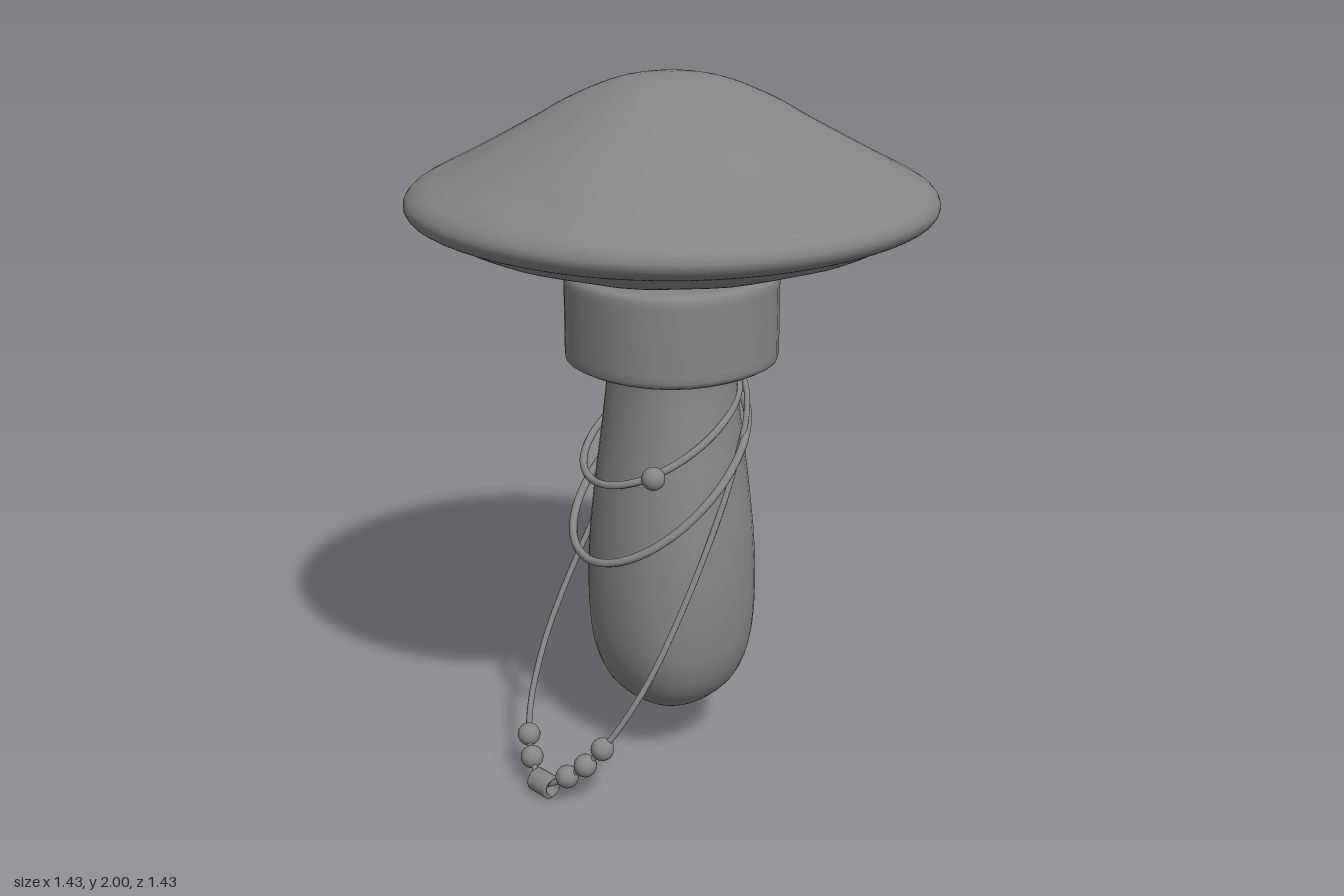
import * as THREE from 'three';
import { mergeVertices } from 'three/addons/utils/BufferGeometryUtils.js';

const material = new THREE.MeshStandardMaterial({ color: 0x868686 });
const v2 = ([x, y]) => new THREE.Vector2(x, y);

function add(parent, name, geometry, position = [0, 0, 0]) {
  const mesh = new THREE.Mesh(geometry, material);
  mesh.name = name;
  mesh.position.set(...position);
  parent.add(mesh);
  return mesh;
}

// Smooth profile through a few points, kept off the far side of the axis
function spline(points, samples) {
  const profile = new THREE.SplineCurve(points.map(v2)).getPoints(samples);
  profile.forEach((p) => { p.x = Math.max(p.x, 0); });
  return profile;
}

// Bottom-to-top profile turned round y, a little fuller on the diagonals;
// "lift" may shift each point's height. The seam is welded for even shading.
function turned(profile, sides, fullness = 0, lift = (x, y) => y) {
  let geometry = new THREE.LatheGeometry(profile, sides);
  const pos = geometry.attributes.position;
  for (let i = 0; i < pos.count; i++) {
    const x = pos.getX(i), z = pos.getZ(i);
    const k = 1 + fullness * Math.sin(2 * Math.atan2(z, x)) ** 2;
    pos.setXYZ(i, x * k, lift(x, pos.getY(i), z), z * k);
  }
  geometry.deleteAttribute('uv');
  geometry.deleteAttribute('normal');
  geometry = mergeVertices(geometry, 1e-5);
  geometry.computeVertexNormals();
  return geometry;
}

// Soft dents in the cap's top and waves in its gills
const dents = [[0.48, 0.16, 0.085, 0.02], [-0.36, 0.4, 0.1, 0.008],
  [0.15, 0.6, 0.07, 0.009], [-0.45, -0.2, 0.08, 0.004]]; // x, z, size, depth
function capLift(x, y, z) {
  const r = Math.hypot(x, z), a = Math.atan2(z, x);
  if (y > 1.67) {
    return dents.reduce((h, [dx, dz, size, depth]) =>
      h - depth * Math.exp(-((x - dx) ** 2 + (z - dz) ** 2) / (size * size)), y);
  }
  if (r < 0.25 || r > 0.6) return y;
  const fade = Math.sin(Math.PI * (r - 0.25) / 0.35);
  return y + fade * (0.007 * Math.sin(5 * a + 1) + 0.004 * Math.sin(13 * a + 9 * r));
}

const cord = (curve, radius) => new THREE.TubeGeometry(curve, 120, radius, 8, true);

// Tilted oval loop running from its low front point to its high back point
function loopCurve(front, back, halfWidth) {
  const points = [];
  for (let i = 0; i < 24; i++) {
    const t = (i / 24) * Math.PI * 2, k = (1 - Math.cos(t)) / 2;
    points.push(new THREE.Vector3(halfWidth * Math.sin(t),
      front[0] + (back[0] - front[0]) * k, front[1] + (back[1] - front[1]) * k));
  }
  return new THREE.CatmullRomCurve3(points, true);
}

export function createModel() {
  const model = new THREE.Group();
  model.name = 'mushroomWithBeadedCord';

  // Cap: wavy gilled underside, rolled rim and domed top
  const gills = spline([[0.1, 1.6], [0.2, 1.59], [0.3, 1.56], [0.38, 1.54], [0.46, 1.54],
    [0.54, 1.55], [0.585, 1.565], [0.61, 1.588]], 20);
  const dome = spline([[0.632, 1.594], [0.675, 1.608], [0.704, 1.627], [0.714, 1.655],
    [0.7, 1.685], [0.66, 1.715], [0.57, 1.763], [0.39, 1.862], [0.275, 1.928],
    [0.14, 1.983], [0, 2]], 50);
  add(model, 'cap', turned([...gills, ...dome], 64, 0.025, capLift));

  // Neck, flared where it meets the collar and the cap
  add(model, 'neck', turned(spline([[0.15, 1.44], [0.135, 1.458], [0.118, 1.475],
    [0.115, 1.5], [0.115, 1.535], [0.135, 1.555], [0.18, 1.575], [0.205, 1.59],
    [0.2, 1.61]], 32), 32, 0.03));

  // Thick collar with softened edges
  add(model, 'collar', turned([[0, 1.196], [0.262, 1.196], [0.275, 1.197], [0.285, 1.203],
    [0.29, 1.215], [0.29, 1.235], [0.29, 1.42], [0.29, 1.437], [0.285, 1.449],
    [0.275, 1.455], [0.262, 1.456], [0, 1.456]].map(v2), 32, 0.04));

  // Rounded stalk, fuller towards the bottom
  add(model, 'stalk', turned(spline([[0, 0.135], [0.065, 0.143], [0.125, 0.17],
    [0.185, 0.235], [0.222, 0.34], [0.234, 0.48], [0.23, 0.65], [0.213, 0.83],
    [0.192, 1.0], [0.178, 1.13], [0.175, 1.21]], 50), 40, 0.045));

  // Cord wound twice round the stalk
  const necklace = new THREE.Group();
  necklace.name = 'necklace';
  model.add(necklace);
  add(necklace, 'upperLoop', cord(loopCurve([0.895, 0.28], [1.14, -0.2], 0.196), 0.011));
  add(necklace, 'middleLoop', cord(loopCurve([0.67, 0.31], [1.07, -0.22], 0.232), 0.012));

  // Long hanging loop, mirrored left to right in one sloping plane
  const slope = (y) => -0.2 + (1.14 - y) * 0.64;
  const side = [[0.1, 1.12], [0.165, 1.04], [0.203, 0.9], [0.224, 0.75], [0.232, 0.55],
    [0.221, 0.37], [0.188, 0.24], [0.16, 0.177], [0.125, 0.124], [0.078, 0.08]];
  const mirrored = side.map(([x, y]) => [-x, y]).reverse();
  const path = [[0, 1.14], ...side, [0, 0.037], ...mirrored];
  add(necklace, 'hangingLoop', cord(new THREE.CatmullRomCurve3(
    path.map(([x, y]) => new THREE.Vector3(x, y, slope(y))), true), 0.009));

  // Round beads
  const bead = new THREE.SphereGeometry(0.033, 20, 14);
  for (const [x, y] of [[0.16, 0.177], [0.125, 0.124], [0.078, 0.08], [-0.078, 0.08],
    [-0.125, 0.124]]) {
    add(necklace, 'bead', bead, [x, y, slope(y)]);
  }
  add(necklace, 'upperBead', bead, [0.15, 0.93, 0.21]);

  // Hollow barrel bead at the lowest point
  const barrel = add(necklace, 'barrelBead', turned([[0.021, -0.038], [0.029, -0.038],
    [0.034, -0.033], [0.034, 0.033], [0.029, 0.038], [0.021, 0.038],
    [0.021, -0.038]].map(v2), 20), [0, 0.035, 0.5]);
  barrel.rotation.z = Math.PI / 2;

  return model;
}
